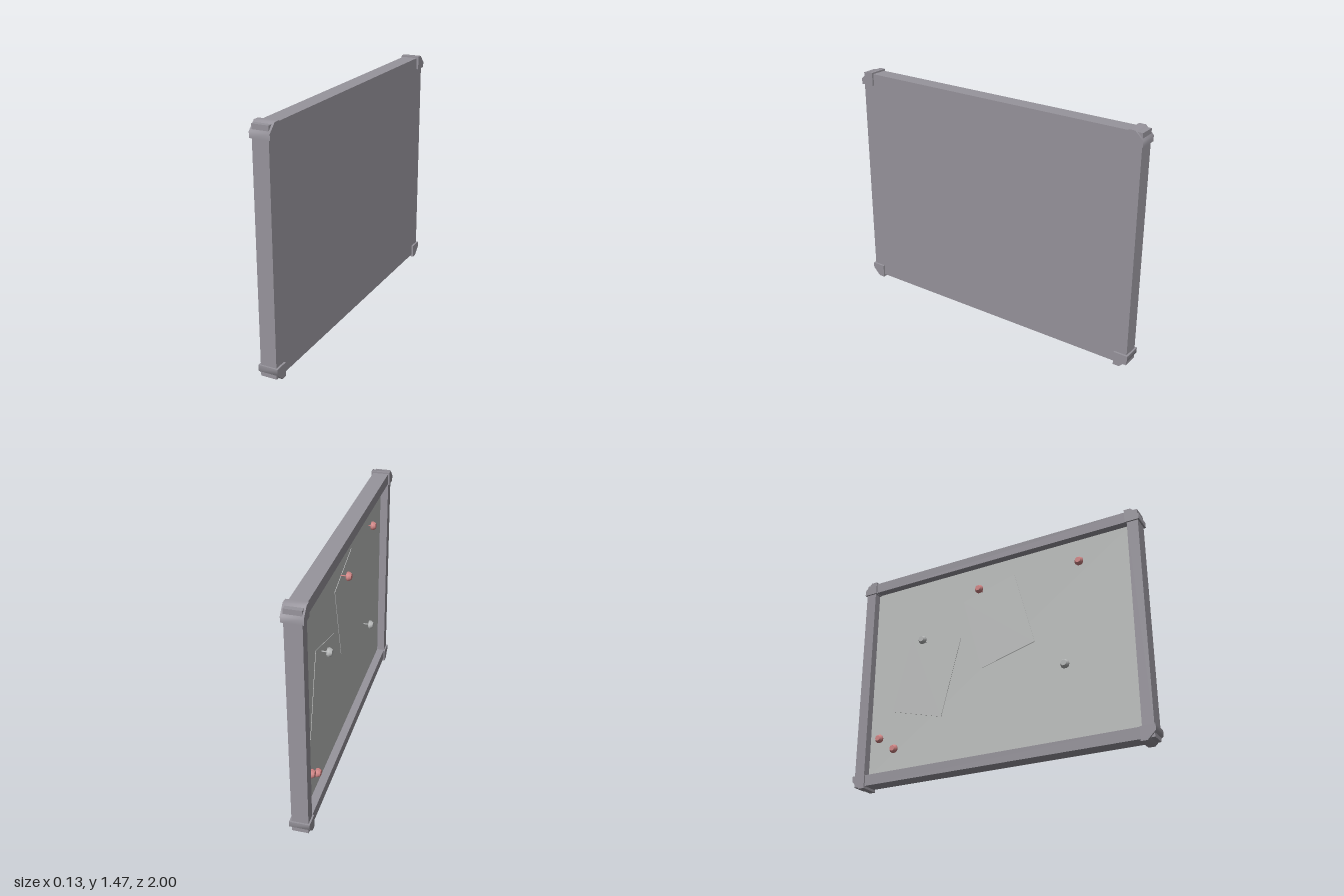
import * as THREE from 'three';
import { toCreasedNormals } from 'three/addons/utils/BufferGeometryUtils.js';

const material = (name, color, side = THREE.FrontSide) => {
  const m = new THREE.MeshStandardMaterial({ color, side });
  m.name = name;
  return m;
};

// Extrudes a (z, y) outline from xBack towards -x, with optional hole.
function slab(points, xBack, depth, hole) {
  const toVec = ([z, y]) => new THREE.Vector2(z, y);
  const shape = new THREE.Shape(points.map(toVec));
  if (hole) shape.holes.push(new THREE.Path(hole.map(toVec)));
  const geo = new THREE.ExtrudeGeometry(shape, { depth, bevelEnabled: false });
  return geo.rotateY(-Math.PI / 2).translate(xBack, 0, 0);
}

const rect = (z, y0, y1) => [[-z, y0], [z, y0], [z, y1], [-z, y1]];

export function createModel() {
  const model = new THREE.Group();
  const frameMat = material('grey frame', 0x97949c);
  const boardMat = material('pale board', 0xbdbfbe);
  const redMat = material('red pin', 0xd08585);
  const greyMat = material('grey pin', 0xb4b6b6);

  const add = (name, geo, mat, parent = model) => {
    const mesh = new THREE.Mesh(geo, mat);
    mesh.name = name;
    parent.add(mesh);
    return mesh;
  };

  // Raised rim, closed back and recessed writing surface
  add('frameRim', slab(rect(0.99, 0.015, 1.46), 0.05, 0.1, rect(0.92, 0.085, 1.39)), frameMat);
  add('backPanel', slab(rect(0.92, 0.085, 1.39), 0.05, 0.046), frameMat);
  add('boardSurface', slab(rect(0.92, 0.085, 1.39), 0.004, 0.004), boardMat);

  // Chamfered corner caps, mirrored to the four corners
  const cap = [[0.91, 1.385], [1, 1.385], [1, 1.42], [0.95, 1.47], [0.91, 1.47]];
  for (const sz of [-1, 1]) {
    for (const top of [true, false]) {
      const points = cap.map(([z, y]) => [z * sz, top ? y : 1.47 - y]);
      const geo = toCreasedNormals(slab(points, 0.0625, 0.1225), Math.PI / 3.5);
      add('cornerCap', geo, frameMat);
    }
  }

  // Tilted paper sheets
  const sheets = [
    [[-0.238, 1.165], [-0.105, 0.667], [0.267, 0.765], [0.133, 1.27]],
    [[-0.629, 1.008], [-0.762, 0.499], [-0.39, 0.398], [-0.257, 0.906]],
  ];
  for (const points of sheets) add('paperSheet', slab(points, 0, 0.003), boardMat);

  // Pins with tapered heads: z, y, head tip x, material
  const headProfile = [[0, 0], [0.025, 0], [0.029, 0.009], [0.027, 0.016], [0.018, 0.03], [0, 0.03]]
    .map(([r, h]) => new THREE.Vector2(r, h));
  const headGeo = toCreasedNormals(new THREE.LatheGeometry(headProfile, 10), Math.PI / 4);
  const pins = [
    [-0.1, 1.205, -0.066, redMat],
    [-0.52, 0.94, -0.066, greyMat],
    [0.48, 0.552, -0.066, greyMat],
    [0.59, 1.225, -0.047, redMat],
    [-0.835, 0.32, -0.047, redMat],
    [-0.72, 0.235, -0.047, redMat],
  ];
  for (const [z, y, tip, mat] of pins) {
    const pin = new THREE.Group();
    pin.name = 'pushPin';
    add('pinHead', headGeo, mat, pin);
    const stem = -tip - 0.03;
    add('pinStem', new THREE.CylinderGeometry(0.004, 0.004, stem, 6).translate(0, -stem / 2, 0), mat, pin);
    pin.rotation.z = Math.PI / 2;
    pin.position.set(tip + 0.03, y, z);
    model.add(pin);
  }

  return model;
}
